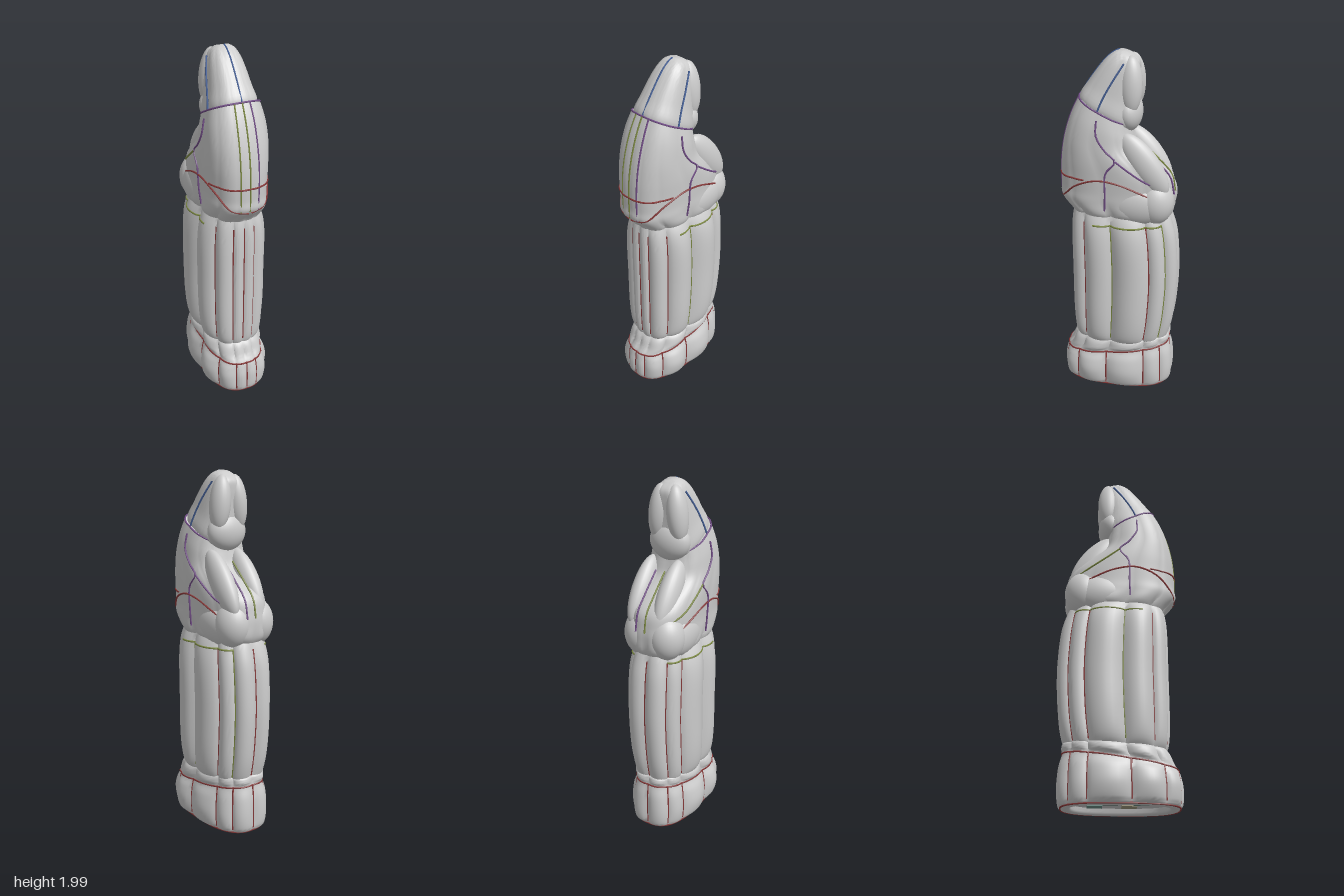
import * as THREE from 'three';
import { toCreasedNormals } from 'three/addons/utils/BufferGeometryUtils.js';

const grey = new THREE.MeshStandardMaterial({ color: 0xcccccc });
const paint = (c) => new THREE.MeshStandardMaterial({ color: c });
const red = paint(0x8a3a3a), olive = paint(0x7f8c45), purple = paint(0x75508a), blue = paint(0x48639a);

// Angles (degrees, from the front) where the padded panels meet, mirrored to both sides
const half = [0, 16, 50, 85, 118, 145, 180];
const seams = [...half, ...half.slice(1, -1).reverse().map((a) => 360 - a)];
const N = 2.6, PER = 10;

// A row of a section: [y, front z, back z, half width, slope of y along z, panel bulge]
function outline(row, deg) {
  const [y, zf, zb, w, slope] = row, a = THREE.MathUtils.degToRad(deg);
  const pw = (v) => Math.sign(v) * Math.pow(Math.abs(v), 2 / N);
  const z = (zf + zb) / 2 + ((zf - zb) / 2) * pw(Math.cos(a));
  return new THREE.Vector3(w * pw(Math.sin(a)), Math.max(0, y + slope * z), z);
}

function ringPoints(row) {
  const pts = [], [, zf, zb, w, slope, bulge] = row, c = (zf + zb) / 2, d = (zf - zb) / 2;
  seams.forEach((a0, s) => {
    const a1 = s + 1 < seams.length ? seams[s + 1] : 360;
    const start = outline(row, a0), chord = outline(row, a1).sub(start);
    for (let k = 0; k < PER; k++) {
      const p = outline(row, a0 + ((a1 - a0) * k) / PER);
      // How far across the panel this point lies
      const t = THREE.MathUtils.clamp(p.clone().sub(start).dot(chord) / chord.lengthSq(), 0, 1);
      const n = new THREE.Vector2(p.x / (w * w), (p.z - c) / (d * d)).normalize();
      const b = Math.min(0.045, 0.25 * chord.length()) * bulge * Math.pow(Math.sin(Math.PI * t), 0.7);
      p.x += n.x * b;
      p.z += n.y * b;
      p.y = Math.max(0, p.y + slope * n.y * b);
      pts.push(p);
    }
  });
  return pts;
}

// Smoothly adds rows between the given ones
function refine(rows, steps = 5) {
  const out = [];
  for (let i = 0; i < rows.length - 1; i++) {
    const [a, b, c, d] = [-1, 0, 1, 2].map((o) => rows[THREE.MathUtils.clamp(i + o, 0, rows.length - 1)]);
    for (let s = 0; s < steps; s++) {
      const t = s / steps;
      out.push(b.map((v, k) => v + 0.5 * t * (c[k] - a[k] + t * (2 * a[k] - 5 * v + 4 * c[k] - d[k] + t * (3 * (v - c[k]) + d[k] - a[k])))));
    }
  }
  return [...out, rows.at(-1)];
}

// Closed padded section through all its rows
function padded(rows) {
  const rings = refine(rows).map(ringPoints), m = rings[0].length, pos = [], idx = [];
  rings.flat().forEach((p) => pos.push(p.x, p.y, p.z));
  for (let i = 0; i < rings.length - 1; i++)
    for (let j = 0; j < m; j++) {
      const a = i * m + j, b = i * m + ((j + 1) % m);
      idx.push(a, b, b + m, a, b + m, a + m);
    }
  [0, rings.length - 1].forEach((r) => {
    const mid = rings[r].reduce((s, p) => s.add(p), new THREE.Vector3()).divideScalar(m);
    const c = pos.length / 3;
    pos.push(mid.x, mid.y, mid.z);
    for (let j = 0; j < m; j++) {
      const a = r * m + j, b = r * m + ((j + 1) % m);
      r ? idx.push(c, a, b) : idx.push(c, b, a);
    }
  });
  const g = new THREE.BufferGeometry();
  g.setAttribute('position', new THREE.Float32BufferAttribute(pos, 3));
  g.setIndex(idx);
  return toCreasedNormals(g, 0.9);
}

const baseRows = [
  [0.04, 0.26, -0.24, 0.12, 0, 0], [0.01, 0.27, -0.25, 0.13, 0, 0], [0.008, 0.31, -0.285, 0.155, 0, 0],
  [0.03, 0.325, -0.3, 0.168, 0, 0.5], [0.11, 0.325, -0.3, 0.174, 0, 0.8], [0.19, 0.32, -0.298, 0.169, -0.08, 0.6],
  [0.245, 0.315, -0.29, 0.158, -0.14, 0.2], [0.275, 0.285, -0.285, 0.154, -0.12, 0.7], [0.315, 0.265, -0.28, 0.152, -0.08, 0.5],
  [0.34, 0.24, -0.25, 0.13, -0.05, 0]];
const bodyRows = [
  [0.28, 0.24, -0.26, 0.13, 0, 0.1], [0.34, 0.258, -0.275, 0.156, 0, 0.7], [0.48, 0.262, -0.298, 0.164, 0, 1],
  [0.72, 0.262, -0.313, 0.166, 0, 1], [0.95, 0.262, -0.3, 0.165, 0, 1], [1.07, 0.26, -0.28, 0.157, 0, 0.7],
  [1.15, 0.25, -0.26, 0.14, 0, 0.1]];
const torsoRows = [
  [1.08, 0.24, -0.26, 0.13, 0, 0], [1.13, 0.265, -0.287, 0.15, 0, 0.5], [1.2, 0.323, -0.298, 0.163, 0, 0.25],
  [1.26, 0.325, -0.295, 0.167, 0, 0.12], [1.34, 0.325, -0.275, 0.17, 0, 0.12], [1.42, 0.318, -0.2, 0.172, 0.05, 0.12],
  [1.5, 0.298, -0.1, 0.168, 0.15, 0.12], [1.58, 0.262, -0.07, 0.16, 0.3, 0.12], [1.65, 0.215, -0.06, 0.142, 0.5, 0.1]];
const hoodRows = [
  [1.59, 0.2, -0.04, 0.1, 0.5, 0], [1.655, 0.212, -0.085, 0.13, 0.5, 0.1], [1.76, 0.165, -0.09, 0.113, 0.45, 0.1],
  [1.86, 0.113, -0.095, 0.098, 0.4, 0.1], [1.93, 0.07, -0.1, 0.082, 0.35, 0.2], [1.975, 0.032, -0.095, 0.062, 0.3, 0.2],
  [1.995, 0.005, -0.055, 0.035, 0.25, 0]];

export function createModel() {
  const root = new THREE.Group();
  const add = (name, geo, mat = grey, parent = root) => {
    const mesh = new THREE.Mesh(geo, mat);
    mesh.name = name;
    parent.add(mesh);
    return mesh;
  };
  const group = (name) => {
    const g = new THREE.Group();
    g.name = name;
    root.add(g);
    return g;
  };
  const seamGroup = group('seams');
  const seam = (name, pts, mat, closed = false) =>
    add(name, new THREE.TubeGeometry(new THREE.CatmullRomCurve3(pts, closed), pts.length * 3, 0.005, 5, closed), mat, seamGroup);

  // Padded sections
  add('base', padded(baseRows));
  add('body', padded(bodyRows));
  add('chest', padded(torsoRows));
  add('hood', padded(hoodRows));

  // Back of the head, shoulder blades and hips
  const back = group('backCushions');
  const pillow = (name, p, s, rot = [0, 0, 0]) => {
    const m = add(name, new THREE.SphereGeometry(1, 28, 20), grey, back);
    m.position.set(...p);
    m.scale.set(...s);
    m.rotation.set(...rot);
  };
  pillow('nape', [0, 1.675, -0.045], [0.118, 0.105, 0.072]);
  pillow('backLobe', [-0.06, 1.415, -0.145], [0.06, 0.2, 0.082], [0.62, 0, 0]);
  pillow('backLobe', [0.105, 1.415, -0.145], [0.056, 0.2, 0.082], [0.62, 0, 0]);
  for (const s of [-1, 1]) {
    pillow('headLobe', [s * 0.054, 1.825, -0.06], [0.056, 0.15, 0.062], [0, 0, s * 0.1]);
    pillow('hip', [s * 0.105, 1.19, -0.1], [0.077, 0.12, 0.17]);
    pillow('rump', [s * 0.075, 1.2, -0.2], [0.1, 0.13, 0.105]);
  }

  // Long seams between the panels
  const lengthwise = (name, rows, deg, mat) => seam(name, refine(rows, 2).map((r) => outline(r, deg)), mat);
  seams.forEach((a) => {
    const side = Math.abs(a - 180) === 95;
    lengthwise('bodySeam', bodyRows.slice(1, -1), a, side || a === 145 ? olive : red);
    lengthwise('baseSeam', baseRows.slice(3, 7), a, red);
  });
  lengthwise('chestSeam', torsoRows.slice(2), 0, olive);
  lengthwise('chestSeam', torsoRows.slice(2), 348, olive);
  lengthwise('chestSeam', torsoRows.slice(2), 12, purple);
  lengthwise('hoodSeam', hoodRows.slice(1), 0, blue);

  // Seams running around the figure
  const around = (name, row, mat) => seam(name, ringPoints(row), mat, true);
  around('baseHem', baseRows[6], red);
  around('groundHem', [0.012, 0.32, -0.295, 0.165, 0, 0], red);
  around('neckSeam', torsoRows.at(-1), purple);
  const chestBand = ringPoints([1.33, 0.326, -0.278, 0.171, 0, 0.12]);
  seam('chestBand', [...chestBand.slice(-2.5 * PER), ...chestBand.slice(0, 2.5 * PER + 1)], red);

  // Seams drawn on the sides through [z, y] points
  const fine = refine(torsoRows, 8), fineHood = refine(hoodRows, 8);
  const onSide = (rows, sign) => ([z, y]) => {
    const err = (r) => Math.abs(r[0] + r[4] * z - y);
    const [, zf, zb, w] = rows.reduce((p, r) => (err(r) < err(p) ? r : p));
    const k = Math.min(1, Math.abs((z - (zf + zb) / 2) / ((zf - zb) / 2)));
    return new THREE.Vector3(sign * (w * Math.pow(1 - k ** N, 1 / N) + 0.007), y, z);
  };
  for (const s of [-1, 1]) {
    const draw = (name, pts, mat, rows = fine) => seam(name, pts.map(onSide(rows, s)), mat);
    draw('chestHem', [[0.323, 1.19], [0.3, 1.21], [0.22, 1.29], [0.1, 1.335], [-0.02, 1.32], [-0.13, 1.275], [-0.22, 1.23], [-0.29, 1.2]], red);
    draw('sideSeam', [[0.1, 1.66], [0.1, 1.58], [0.05, 1.5], [0.0, 1.45], [0.05, 1.38], [0.055, 1.25], [0.06, 1.16]], purple);
    draw('shoulderSeam', [[0.0, 1.45], [-0.08, 1.39], [-0.17, 1.33], [-0.27, 1.28]], s > 0 ? purple : olive);
    draw('hoodSideSeam', [[-0.03, 1.94], [0.02, 1.86], [0.07, 1.77], [0.1, 1.7]], blue, fineHood);
    const waist = ringPoints(bodyRows[5]).slice(2.5 * PER, 5 * PER + 1);
    seam('waistSeam', waist.map((p) => p.setX(s * p.x)), olive);
  }
  // Twin seams between the shoulder blades
  [[0, olive], [0.055, purple]].forEach(([x, mat]) =>
    seam('spineSeam', [[1.52, -0.1], [1.42, -0.205], [1.34, -0.278], [1.24, -0.302]]
      .map(([y, z]) => new THREE.Vector3(x, y, z)), mat));

  // Patches set into the underside
  const patches = group('underside');
  [[-0.04, 0.12, 0x6f9088], [0.04, 0.06, 0xa09a80], [-0.03, -0.04, 0x8a9a94], [0.04, -0.12, 0x6f9088]].forEach(([x, z, c]) => {
    add('patch', new THREE.BoxGeometry(0.07, 0.012, 0.08), paint(c), patches).position.set(x, 0.036, z);
  });
  return root;
}
